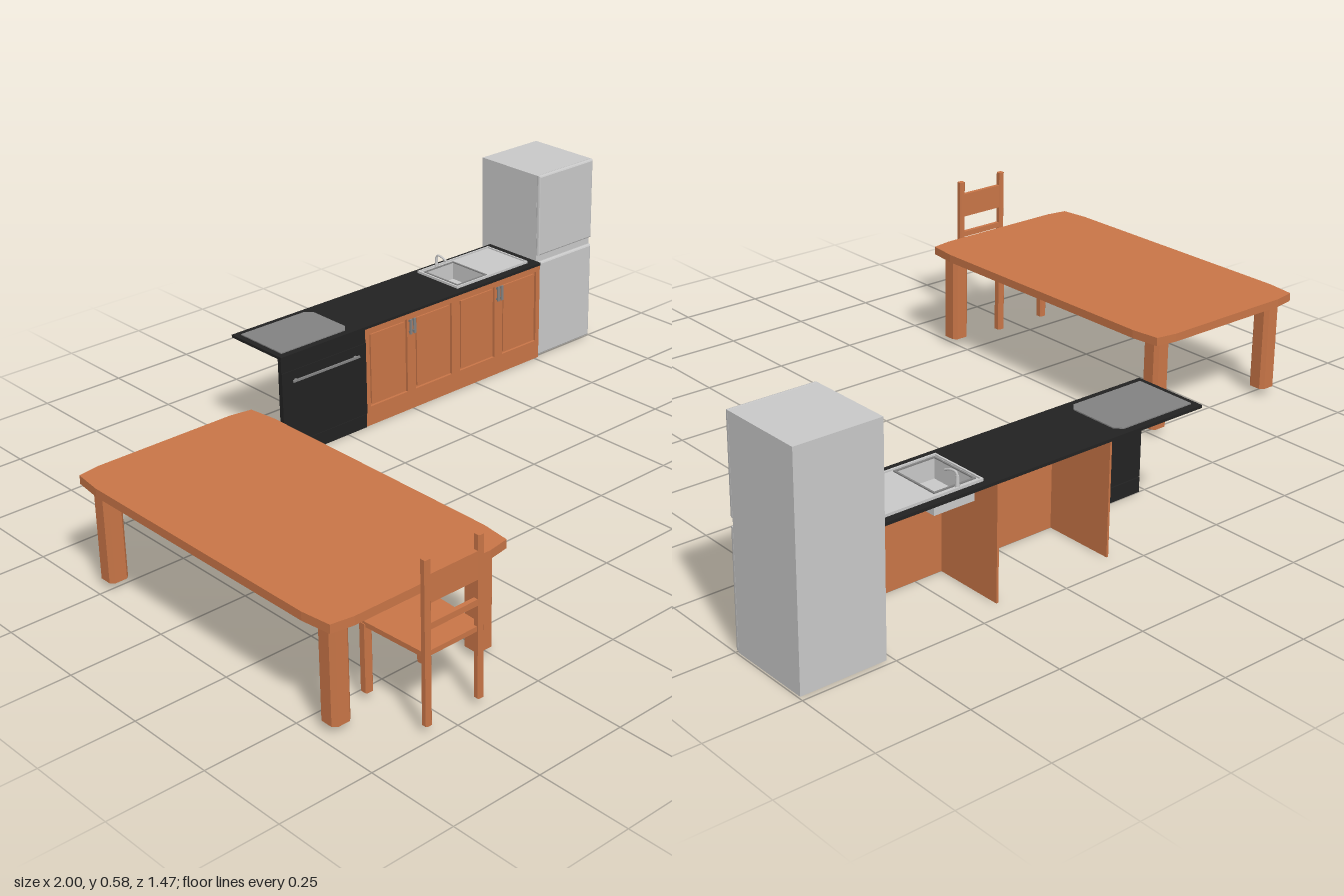
import * as THREE from 'three';

const mat = (name, color) => {
  const m = new THREE.MeshStandardMaterial({ color, side: THREE.DoubleSide });
  m.name = name;
  return m;
};

export function createModel() {
  const wood = mat('warm wood', 0xc87547);
  const black = mat('black', 0x222222);
  const steel = mat('light steel', 0xc8c8c8);
  const grey = mat('mid grey', 0x828282);

  const root = new THREE.Group();
  root.name = 'kitchen';
  const group = (name) => {
    const g = new THREE.Group();
    g.name = name;
    root.add(g);
    return g;
  };
  const add = (parent, name, geo, m) => {
    const mesh = new THREE.Mesh(geo, m);
    mesh.name = name;
    parent.add(mesh);
    return mesh;
  };
  // Box given by its limits on each axis
  const box = (parent, name, m, x0, x1, y0, y1, z0, z1) => {
    const mesh = add(parent, name, new THREE.BoxGeometry(x1 - x0, y1 - y0, z1 - z0), m);
    mesh.position.set((x0 + x1) / 2, (y0 + y1) / 2, (z0 + z1) / 2);
    return mesh;
  };
  const poly = (pts) => pts.map(([x, y]) => new THREE.Vector2(x, y));
  const rect = (x0, x1, y0, y1) => [[x0, y0], [x1, y0], [x1, y1], [x0, y1]];
  const extrude = (outline, holes, depth) => {
    const shape = new THREE.Shape(poly(outline));
    holes.forEach((h) => shape.holes.push(new THREE.Path(poly(h))));
    return new THREE.ExtrudeGeometry(shape, { depth, bevelEnabled: false });
  };
  // Upright prism: outline and holes as [x, z], between two heights
  const slab = (parent, name, m, outline, holes, y0, y1) => {
    const flip = (pts) => pts.map(([x, z]) => [x, -z]);
    const geo = extrude(flip(outline), holes.map(flip), y1 - y0);
    geo.rotateX(-Math.PI / 2);
    return add(parent, name, geo.translate(0, y0, 0), m);
  };
  // Square with cut corners
  const cutSquare = (cx, cz, r, c) => [
    [cx - r + c, cz - r], [cx + r - c, cz - r], [cx + r, cz - r + c], [cx + r, cz + r - c],
    [cx + r - c, cz + r], [cx - r + c, cz + r], [cx - r, cz + r - c], [cx - r, cz - r + c],
  ];

  // Table: softly curved top on four hollow legs
  const table = group('table');
  const tx = -0.73, tz = 0.153;
  const corner = [[0.2, 0.472], [0.26, 0.462], [0.27, 0.38]];
  const back = [...corner].reverse();
  slab(table, 'tableTop', wood, [
    ...corner.map(([x, z]) => [tx + x, tz + z]),
    ...back.map(([x, z]) => [tx + x, tz - z]),
    ...corner.map(([x, z]) => [tx - x, tz - z]),
    ...back.map(([x, z]) => [tx - x, tz + z]),
  ], [], 0.277, 0.3);
  for (const sx of [-1, 1]) for (const sz of [-1, 1]) {
    const x = tx + sx * 0.215, z = tz + sz * 0.417;
    slab(table, 'tableLeg', wood, cutSquare(x, z, 0.027, 0.01), [cutSquare(x, z, 0.024, 0.009)], 0.02, 0.277);
  }

  // Chair facing the table
  const chair = group('chair');
  const cx = -0.738;
  slab(chair, 'seat', wood, [[cx - 0.095, 0.52], [cx + 0.095, 0.52], [cx + 0.085, 0.725], [cx - 0.085, 0.725]], [], 0.193, 0.206);
  for (const s of [-1, 1]) {
    slab(chair, 'backPost', wood, cutSquare(cx + s * 0.078, 0.722, 0.009, 0.003), [], 0.02, 0.435);
    slab(chair, 'frontLeg', wood, cutSquare(cx + s * 0.085, 0.533, 0.011, 0.003), [], 0.02, 0.2);
  }
  box(chair, 'upperSlat', wood, cx - 0.072, cx + 0.072, 0.325, 0.396, 0.716, 0.728);
  box(chair, 'lowerSlat', wood, cx - 0.072, cx + 0.072, 0.26, 0.276, 0.716, 0.728);

  // Worktop with cut-outs for hob and sink
  const counter = group('counter');
  slab(counter, 'worktop', black, rect(-0.23, 0.765, -0.7, -0.485),
    [rect(-0.2, 0.015, -0.67, -0.515), rect(0.455, 0.575, -0.665, -0.52)], 0.303, 0.311);
  slab(counter, 'hob', grey, [[-0.213, -0.68], [0.012, -0.68], [0.03, -0.66], [0.03, -0.525], [0.012, -0.505], [-0.213, -0.505]],
    [], 0.309, 0.314);

  // Cabinets: open at the back, with framed doors
  const cabinets = group('cabinets');
  const x0 = 0.07, doorW = 0.174;
  box(cabinets, 'plinth', wood, x0, 0.765, 0, 0.04, -0.502, -0.49);
  const openings = [];
  for (let i = 0; i < 4; i++) {
    const a = x0 + i * doorW + 0.016, b = a + doorW - 0.032;
    openings.push(rect(a, b, 0.06, 0.286));
    box(cabinets, 'doorPanel', wood, a, b, 0.06, 0.286, -0.502, -0.496);
    box(cabinets, 'doorField', wood, a + 0.007, b - 0.007, 0.067, 0.279, -0.497, -0.491);
  }
  add(cabinets, 'doorFrames', extrude(rect(x0, 0.765, 0.04, 0.303), openings, 0.014), wood).position.z = -0.502;
  for (const x of [0.072, 0.418, 0.762]) box(cabinets, 'divider', wood, x - 0.003, x + 0.003, 0, 0.303, -0.7, -0.5);
  for (const x of [0.244, 0.592]) for (const s of [-1, 1]) {
    const h = x + s * 0.007;
    box(cabinets, 'doorHandle', grey, h - 0.004, h + 0.004, 0.24, 0.286, -0.483, -0.479);
    for (const y of [0.246, 0.28]) box(cabinets, 'handleMount', grey, h - 0.003, h + 0.003, y - 0.003, y + 0.003, -0.49, -0.482);
  }

  // Oven front
  const oven = group('oven');
  box(oven, 'ovenDrawer', black, -0.23, 0.07, 0, 0.041, -0.5, -0.488);
  box(oven, 'ovenDoor', black, -0.23, 0.07, 0.044, 0.262, -0.5, -0.485);
  box(oven, 'ovenControlPanel', black, -0.23, 0.07, 0.262, 0.303, -0.5, -0.487);
  box(oven, 'ovenHandle', grey, -0.197, 0.04, 0.23, 0.236, -0.48, -0.475);
  for (const x of [-0.185, 0.028]) box(oven, 'ovenHandleMount', grey, x - 0.004, x + 0.004, 0.23, 0.236, -0.503, -0.478);

  // Sink with basin, raised rims, drainer and tap
  const sink = group('sink');
  const bowl = rect(0.46, 0.57, -0.66, -0.525);
  slab(sink, 'sinkPlate', steel, rect(0.445, 0.735, -0.68, -0.51), [bowl], 0.309, 0.314);
  slab(sink, 'sinkRim', steel, rect(0.445, 0.735, -0.68, -0.51), [rect(0.45, 0.73, -0.675, -0.515)], 0.314, 0.318);
  slab(sink, 'bowlRim', grey, rect(0.455, 0.575, -0.665, -0.52), [bowl], 0.314, 0.317);
  slab(sink, 'bowlWalls', steel, rect(0.457, 0.573, -0.663, -0.522), [bowl], 0.262, 0.311);
  slab(sink, 'bowlFloor', steel, rect(0.457, 0.573, -0.663, -0.522), [], 0.259, 0.263);
  const tap = add(sink, 'tapBase', new THREE.CylinderGeometry(0.004, 0.006, 0.032, 10), steel);
  tap.position.set(0.515, 0.328, -0.673);
  const spout = new THREE.CatmullRomCurve3([[0.335, -0.673], [0.35, -0.67], [0.35, -0.65], [0.342, -0.63]]
    .map(([y, z]) => new THREE.Vector3(0.515, y, z)));
  add(sink, 'tapSpout', new THREE.TubeGeometry(spout, 10, 0.003, 8), steel);

  // Fridge: body with two bevelled doors and a gap between them
  const fridge = group('fridge');
  box(fridge, 'fridgeBody', steel, 0.765, 0.995, 0, 0.58, -0.735, -0.505);
  for (const [y0, y1] of [[0.004, 0.307], [0.329, 0.58]]) {
    const b = 0.005;
    const geo = new THREE.ExtrudeGeometry(new THREE.Shape(poly(rect(0.765 + b, 0.995 - b, y0 + b, y1 - b))),
      { depth: 0.004, bevelThickness: 0.006, bevelSize: b, bevelSegments: 2 });
    add(fridge, 'fridgeDoor', geo, steel).position.z = -0.504;
  }
  return root;
}
